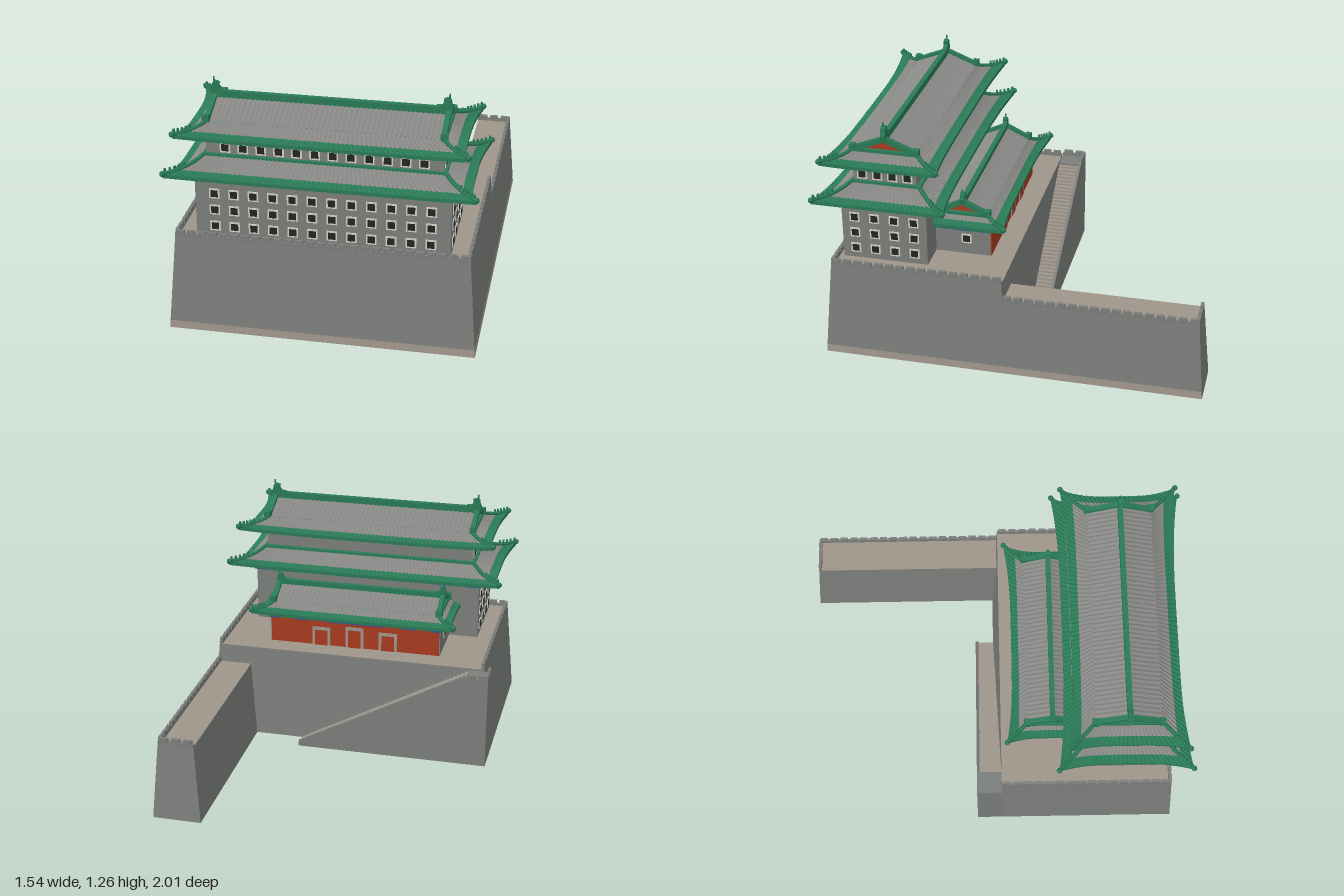
import * as THREE from 'three';
import { mergeGeometries } from 'three/addons/utils/BufferGeometryUtils.js';

const mat = (name, color) => new THREE.MeshStandardMaterial({ name, color, side: THREE.DoubleSide });
const lerp = THREE.MathUtils.lerp;
const V = (x, y, z) => new THREE.Vector3(x, y, z);

export function createModel() {
  const stone = mat('grey brick', 0x7b7e7a), trim = mat('pale stone', 0x9e958a), tile = mat('grey roof tile', 0x878886),
    green = mat('green glaze', 0x2a7a56), red = mat('red paint', 0xa83a20), blue = mat('blue paint', 0x2a50a4),
    frame = mat('window frame', 0xd2d0c4), dark = mat('window opening', 0x222522);
  const model = new THREE.Group();
  model.name = 'gateTower';

  const add = (parent, name, geo, m) => {
    const mesh = new THREE.Mesh(geo, m);
    mesh.name = name;
    parent.add(mesh);
    return mesh;
  };
  // Several boxes [w, h, d, x, y, z] merged into one mesh
  const boxes = (parent, name, m, list) => add(parent, name,
    mergeGeometries(list.map(([w, h, d, x, y, z]) => new THREE.BoxGeometry(w, h, d).translate(x, y, z))), m);
  // Faceted surface from a rule f(u, v, column)
  const surf = (parent, name, m, f, nu = 1, nv = 1, v0 = 0, v1 = 1) => {
    const pts = [];
    const p = (i, j) => f(-1 + 2 * i / nu, lerp(v0, v1, j / nv), i);
    for (let i = 0; i < nu; i++) for (let j = 0; j < nv; j++) {
      const a = p(i, j + 1), b = p(i + 1, j + 1), c = p(i + 1, j), d = p(i, j);
      pts.push(a, b, c, a, c, d);
    }
    const g = new THREE.BufferGeometry().setFromPoints(pts);
    g.computeVertexNormals();
    return add(parent, name, g, m);
  };
  // Battered wall from a bottom edge b0-b1 to a top edge t0-t1, with an optional pale footing
  const batter = (parent, name, b0, b1, t0, t1, footing) => {
    const f = (u, v) => b0.clone().lerp(b1, (u + 1) / 2).lerp(t0.clone().lerp(t1, (u + 1) / 2), 1 - v);
    const s = footing ? 1 - 0.04 / t0.y : 1;
    surf(parent, name, stone, f, 1, 1, 0, s);
    if (footing) surf(parent, name + 'Footing', trim, f, 1, 1, s, 1);
  };
  // Low parapet with merlons along x or z
  const parapet = (parent, name, axis, from, to, fixed, y) => {
    const L = to - from, n = Math.max(2, Math.round(L / 0.055)), list = [];
    const put = (len, h, c, yy) => list.push(axis === 'x' ? [len, h, 0.016, c, yy, fixed] : [0.016, h, len, fixed, yy, c]);
    put(L, 0.014, (from + to) / 2, y + 0.007);
    for (let i = 0; i < n; i++) put(L / n * 0.72, 0.018, from + (i + 0.5) * L / n, y + 0.022);
    boxes(parent, name, stone, list);
  };

  // Hollow terrace
  const base = new THREE.Group(); base.name = 'terrace'; model.add(base);
  const H = 0.505, W = 0.405;
  const B = [V(-.77, 0, .96), V(.77, 0, .96), V(.77, 0, 0), V(-.77, 0, 0)];
  const T = [V(-.73, H, .92), V(.73, H, .92), V(.73, H, .03), V(-.73, H, .03)];
  ['front', 'left', 'back', 'right'].forEach((s, i) =>
    batter(base, s + 'TerraceWall', B[i], B[(i + 1) % 4], T[i], T[(i + 1) % 4], i < 2));
  surf(base, 'terraceFloor', trim, (u, v) => V(u * .73, H, lerp(.03, .92, v)));
  parapet(base, 'frontParapet', 'x', -.73, .73, .912, H);
  for (const s of [-1, 1]) parapet(base, 'sideParapet', 'z', .03, .92, s * .722, H);

  // City wall running back
  const wall = new THREE.Group(); wall.name = 'cityWall'; model.add(wall);
  batter(wall, 'outerFace', V(.77, 0, 0), V(.77, 0, -1), V(.738, W, .03), V(.738, W, -.965), true);
  batter(wall, 'endFace', V(.77, 0, -1), V(.52, 0, -1), V(.738, W, -.965), V(.553, W, -.965));
  batter(wall, 'innerFace', V(.52, 0, -1), V(.52, 0, 0), V(.553, W, -.965), V(.553, W, .03));
  surf(wall, 'wallWalk', trim, (u, v) => V(.6455 + u * .0925, W, lerp(-.965, .03, v)));
  parapet(wall, 'outerParapet', 'z', -.965, .03, .73, W);
  parapet(wall, 'endParapet', 'x', .553, .738, -.957, W);

  // Stair ramp with landing
  const ramp = new THREE.Group(); ramp.name = 'ramp'; model.add(ramp);
  const slab = (name, pts, z0, z1, m) => add(ramp, name, new THREE.ExtrudeGeometry(
    new THREE.Shape(pts.map(p => new THREE.Vector2(...p))), { depth: z1 - z0, bevelEnabled: false }).translate(0, 0, z0), m);
  slab('rampParapet', [[-.65, 0], [.255, 0], [.255, .03], [-.65, .52]], -.1, -.085, stone);
  const steps = [[-.65, 0], [.255, 0]], N = 44;
  for (let i = 0; i < N; i++) {
    const y = .485 * (i + 1) / N;
    steps.push([.255 - .905 * i / N, y], [.255 - .905 * (i + 1) / N, y]);
  }
  slab('stairs', steps, -.085, .03, trim);
  boxes(ramp, 'landing', stone, [[.12, H - .01, .13, -.71, (H - .01) / 2, -.035]]);
  parapet(ramp, 'landingSideParapet', 'z', -.1, .03, -.762, H - .01);
  parapet(ramp, 'landingBackParapet', 'x', -.77, -.65, -.092, H - .01);

  // Curved roof centred on its own group; with o.ridge it becomes a hip-and-gable roof
  const turn = (k, a, y, b) => [V(a, y, b), V(b, y, -a), V(-a, y, -b), V(-b, y, a)][k];
  function roof(name, o) {
    const g = new THREE.Group(); g.name = name; g.position.z = o.cz; model.add(g);
    const skirt = (k, u, v, dy = 0) => {
      const [iA, oA, iB, oB] = k % 2 ? [o.iz, o.oz, o.ix, o.ox] : [o.ix, o.ox, o.iz, o.oz];
      const c = v * v * u ** 4;
      const y = o.yTop - (o.yTop - o.yEave) * (1 - (1 - v) ** 1.6) + o.lift * c;
      return turn(k, u * (lerp(iA, oA, v) + o.flare * c), y + dy, lerp(iB, oB, v) + o.flare * c);
    };
    const rib = i => (i % 2) * 0.005;
    for (let k = 0; k < 4; k++) {
      const n = 2 * Math.round((k % 2 ? o.oz : o.ox) / 0.012);
      surf(g, 'roofTiles', tile, (u, v, i) => skirt(k, u, v, rib(i)), n, 4, 0, o.split);
      surf(g, 'glazedEaveTiles', green, (u, v, i) => skirt(k, u, v, rib(i)), n, 3, o.split, 1);
      surf(g, 'eaveEdge', green, (u, v) => skirt(k, u, 1, -0.018 * v), 32, 1);
      // Soffit from the wall head out to the eave
      surf(g, 'soffit', green, (u, v) => {
        const [a, b] = k % 2 ? [o.bz, o.bx] : [o.bx, o.bz];
        return turn(k, u * a, o.yBand, b).lerp(skirt(k, u, 1, -0.018), v);
      }, 32, 2);
    }
    // Hip ridges with small guardian figures
    for (const k of [0, 2]) for (const s of [-1, 1]) {
      const path = [0, .2, .4, .6, .8, 1].map(v => skirt(k, s, v, 0.006));
      add(g, 'hipRidge', new THREE.TubeGeometry(new THREE.CatmullRomCurve3(path), 12, 0.011, 6), green);
      boxes(g, 'ridgeFigures', green, [.55, .65, .75, .85, .95].map(v => {
        const p = skirt(k, s, v, 0.02);
        return [.01, .022, .01, p.x, p.y, p.z];
      }));
      const p = skirt(k, s, 1, 0.004);
      add(g, 'eaveTip', new THREE.SphereGeometry(0.015, 8, 6).translate(p.x, p.y, p.z), green);
    }
    if (!o.ridge) {
      boxes(g, 'ringRidge', green, [[o.ix * 2 + .01, .026, o.iz * 2 + .01, 0, o.yTop - .002, 0]]);
      return g;
    }
    const h = o.ridge - o.yTop;
    for (const k of [0, 2]) surf(g, 'upperSlope', tile, (u, v, i) =>
      turn(k, u * o.ix, o.ridge - h * v ** .88 + rib(i), o.iz * v), 2 * Math.round(o.ix / 0.012), 4);
    const rh = o.ornament * .45;
    boxes(g, 'mainRidge', green, [[o.ix * 2, rh, .026, 0, o.ridge + rh / 2 - .006, 0]]);
    const angle = Math.atan2(h, o.iz), e = o.ornament;
    for (const s of [-1, 1]) {
      surf(g, 'gablePanel', red, (u, v) => turn(s > 0 ? 1 : 3, u * o.iz * v, o.ridge - h * v, o.ix - .004));
      boxes(g, 'gableSill', green, [[.03, .016, o.iz * 2, s * o.ix, o.yTop + .004, 0]]);
      for (const t of [-1, 1]) {
        const board = boxes(g, 'bargeBoard', green, [[.026, .026, Math.hypot(h, o.iz) + .012, 0, 0, 0]]);
        board.position.set(s * o.ix, o.ridge - h / 2 + .006, t * o.iz / 2);
        board.rotation.x = t * angle;
        boxes(g, 'gableRidgeEnd', green, [[.034, .034, .03, s * (o.ix + .004), o.yTop + .016, t * o.iz]]);
      }
      // Curled ridge ornament
      const shape = new THREE.Shape([[-.75, 0], [-.75, .5], [-.4, .55], [-.25, .75], [-.3, .95], [0, 1.05],
        [.15, .9], [.2, .6], [.3, .45], [.2, 0]].map(([x, y]) => new THREE.Vector2(s * x * e, y * e)));
      add(g, 'ridgeOrnament', new THREE.ExtrudeGeometry(shape, { depth: .024, bevelEnabled: false })
        .translate(s * o.ix, o.ridge - .006, -.012), green);
      boxes(g, 'ornamentHorn', green, [[.007, e * .3, .007, s * (o.ix + .004), o.ridge + e * 1.08, 0]]);
    }
    return g;
  }

  // Painted beam and bracket row around a wall head
  function brackets(name, bx, bz, cz, y0, y1) {
    const g = new THREE.Group(); g.name = name; g.position.z = cz; model.add(g);
    const h = y1 - y0, low = y0 + h * .28;
    boxes(g, 'paintedBeam', green, [[bx * 2, h, bz * 2, 0, (y0 + y1) / 2, 0]]);
    const panels = [], red1 = [], blue1 = [], green1 = [];
    for (const [c, w] of [[0, .66], [.62, .18], [-.62, .18], [.93, .1], [-.93, .1]])
      panels.push([w * bx, h * .42, bz * 2 + .008, c * bx, low, 0], [bx * 2 + .008, h * .42, w * bz, 0, low, c * bz]);
    const put = (len, across, alongX) => {
      const n = Math.round(len / .032);
      for (let i = 0; i < n; i++) {
        const c = (i + .5) * len / n - len / 2, y = y1 - h * .25;
        for (const s of [-1, 1]) {
          const at = (w, d, b) => alongX ? [w, h * .4, d, c, y, s * b] : [d, h * .4, w, s * b, y, c];
          [green1, blue1][i % 2].push(at(.016, .018, across + .006));
          red1.push(at(len / n, .006, across));
        }
      }
    };
    put(bx * 2, bz, true); put(bz * 2, bx, false);
    boxes(g, 'bluePanels', blue, panels);
    boxes(g, 'redBacking', red, red1);
    boxes(g, 'blueBrackets', blue, blue1);
    boxes(g, 'greenBrackets', green, green1);
  }

  // Rows of framed windows on front and side faces
  const CZ = .66, frames = [], panes = [];
  const windowAt = (axis, a, y, b) => {
    const at = (s, d) => axis === 'x' ? [s, s, d, a, y, b] : [d, s, s, b, y, a];
    frames.push(at(.052, .008)); panes.push(at(.036, .011));
  };
  const windowRow = (y, hx, spanX, hz, spanZ) => {
    for (let i = 0; i < 12; i++) windowAt('x', -spanX + 2 * spanX * i / 11, y, CZ + hz);
    for (const s of [-1, 1]) for (let i = 0; i < 4; i++) windowAt('z', CZ - spanZ + 2 * spanZ * i / 3, y, s * hx);
  };
  boxes(model, 'lowerStorey', stone, [[1.256, .34, .444, 0, .67, CZ]]);
  boxes(model, 'upperStorey', stone, [[1.16, .13, .33, 0, .955, CZ]]);
  for (const y of [.562, .65, .738]) windowRow(y, .628, .532, .222, .155);
  windowRow(.962, .58, .485, .165, .118);

  // Rear hall
  boxes(model, 'rearHall', stone, [[.94, .15, .3, 0, .575, .3]]);
  boxes(model, 'rearRedWall', red, [[.93, .14, .008, 0, .575, .149]]);
  for (const x of [-.185, 0, .185]) {
    const h = x ? .105 : .12;
    boxes(model, 'doorFrame', trim, [[.1, h, .009, x, H + h / 2, .146]]);
    boxes(model, 'doorLeaf', red, [[.07, h - .018, .009, x, H + h / 2 - .009, .144]]);
  }
  for (const s of [-1, 1]) windowAt('z', .275, .592, s * .47);
  boxes(model, 'windowFrames', frame, frames);
  boxes(model, 'windowOpenings', dark, panes);

  brackets('lowerBrackets', .638, .232, CZ, .8, .838);
  brackets('upperBrackets', .592, .177, CZ, 1.0, 1.036);
  brackets('rearBrackets', .478, .155, .3, .64, .68);
  roof('lowerRoof', { cz: .655, ix: .59, iz: .178, ox: .715, oz: .3, yTop: .918, yEave: .85, lift: .022, flare: .038,
    split: .66, bx: .638, bz: .232, yBand: .838 });
  roof('upperRoof', { cz: .657, ix: .572, iz: .165, ox: .675, oz: .268, yTop: 1.092, yEave: 1.046, lift: .022, flare: .032,
    split: .6, bx: .592, bz: .177, yBand: 1.036, ridge: 1.158, ornament: .08 });
  roof('rearRoof', { cz: .295, ix: .455, iz: .13, ox: .522, oz: .203, yTop: .728, yEave: .688, lift: .02, flare: .032,
    split: .5, bx: .478, bz: .155, yBand: .678, ridge: .79, ornament: .062 });
  return model;
}
